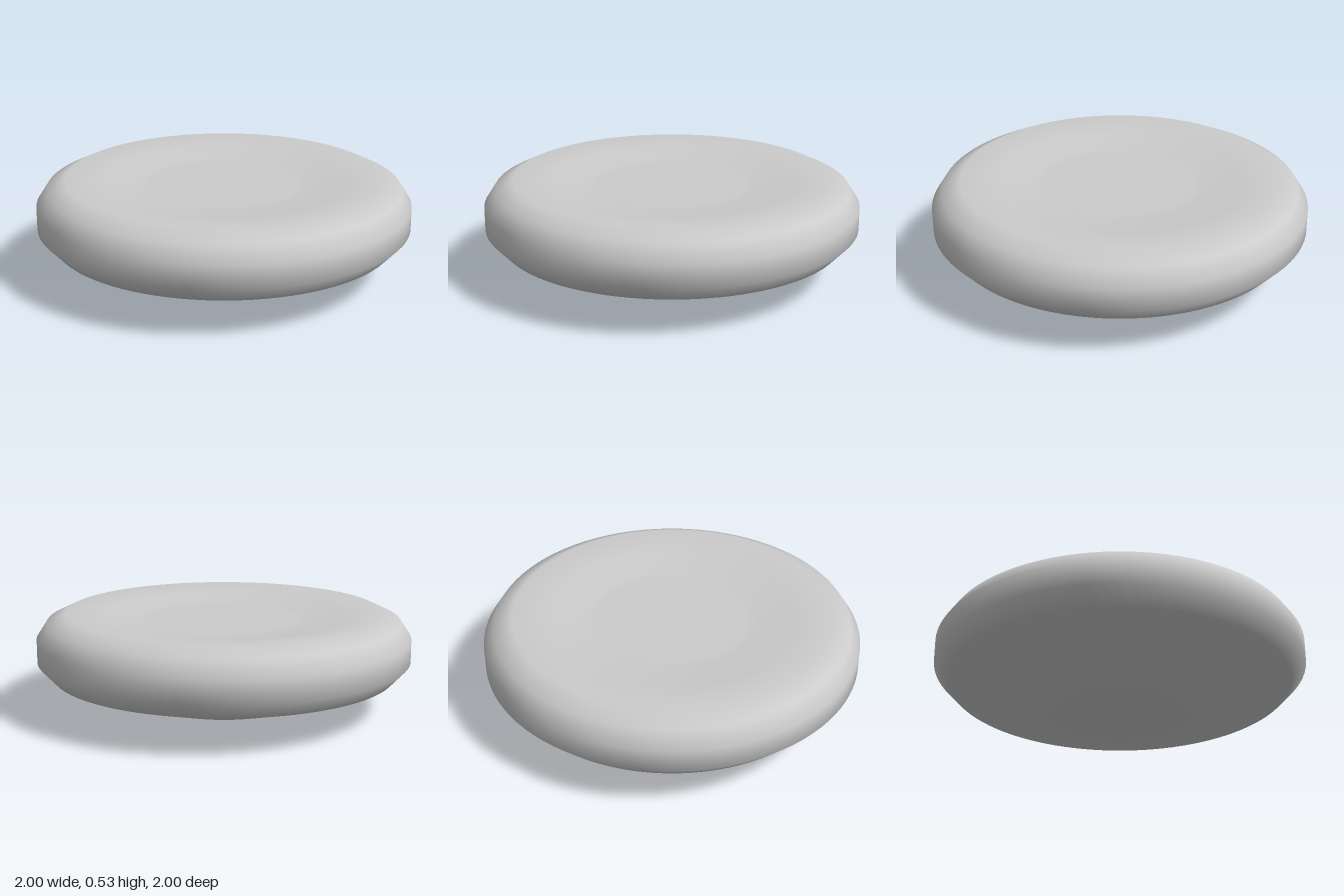
import * as THREE from 'three';

export function createModel() {
  const group = new THREE.Group();
  group.name = 'roundCushion';

  // Half profile [radius, height], from the underside centre, round the rim, to the dished top
  const profile = [
    [0, 0], [0.43, 0.043], [0.92, 0.195],
    [1, 0.28], [1, 0.4], [0.945, 0.485], [0.845, 0.533],
    [0.64, 0.508], [0.45, 0.488], [0.4, 0.487], [0, 0.487],
  ].map(([r, y]) => new THREE.Vector2(r, y));

  // Smooth round body with a shallow dish on top
  const cushion = new THREE.Mesh(
    new THREE.LatheGeometry(profile, 96),
    new THREE.MeshStandardMaterial({ color: 0xcccccc }),
  );
  cushion.name = 'cushion';
  group.add(cushion);

  return group;
}
